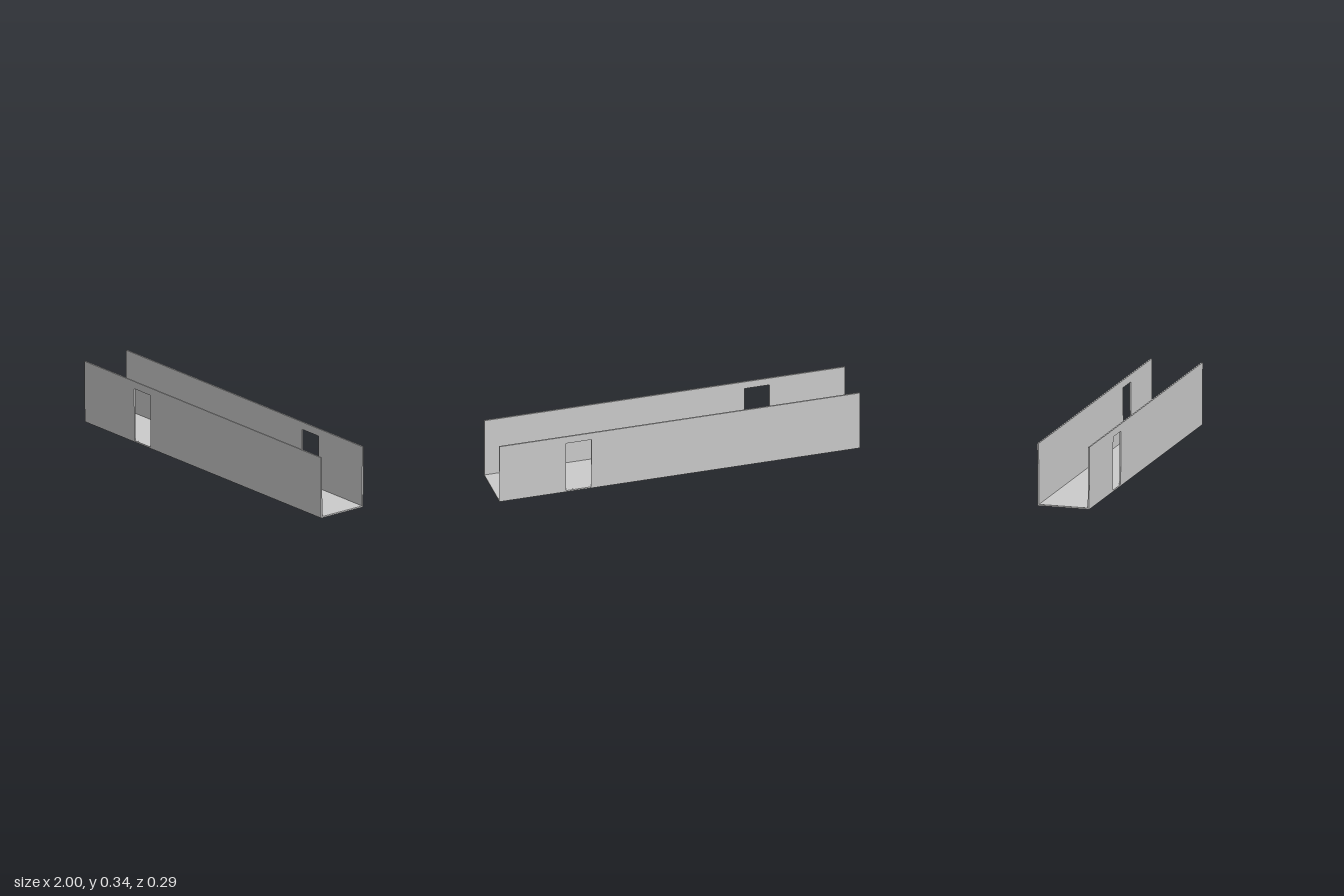
import * as THREE from 'three';

const LENGTH = 2, HEIGHT = 0.341, THICK = 0.008;
const FOOT = 0.1435, TOP = 0.146; // outer half-widths at the foot and top of the walls
const DOOR_BOTTOM = 0.008, DOOR_TOP = 0.3;

const material = new THREE.MeshStandardMaterial({ color: 0xcccccc, flatShading: true });

function rectangle(path, x0, x1, y0, y1) {
  path.moveTo(x0, y0);
  path.lineTo(x1, y0);
  path.lineTo(x1, y1);
  path.lineTo(x0, y1);
  path.closePath();
  return path;
}

// Thin wall with a doorway, leaning slightly outward
function wall(name, side, doorX0, doorX1) {
  const shape = rectangle(new THREE.Shape(), -LENGTH / 2, LENGTH / 2, 0, HEIGHT);
  shape.holes.push(rectangle(new THREE.Path(), doorX0, doorX1, DOOR_BOTTOM, DOOR_TOP));
  const geometry = new THREE.ExtrudeGeometry(shape, { depth: THICK, bevelEnabled: false });
  geometry.translate(0, 0, side > 0 ? FOOT - THICK : -FOOT);
  const pos = geometry.attributes.position;
  for (let i = 0; i < pos.count; i++) {
    const lean = (TOP - FOOT) * pos.getY(i) / HEIGHT;
    pos.setZ(i, pos.getZ(i) + side * lean);
  }
  geometry.computeVertexNormals();
  const mesh = new THREE.Mesh(geometry, material);
  mesh.name = name;
  return mesh;
}

export function createModel() {
  const group = new THREE.Group();
  group.name = 'corridor';

  // Floor slab between the walls
  const floor = new THREE.Mesh(
    new THREE.BoxGeometry(LENGTH, THICK, 2 * (FOOT - THICK)), material);
  floor.name = 'floor';
  floor.position.y = THICK / 2;

  // Walls with doorways near opposite ends
  group.add(floor, wall('frontWall', 1, -0.58, -0.443), wall('backWall', -1, 0.49, 0.63));
  return group;
}
